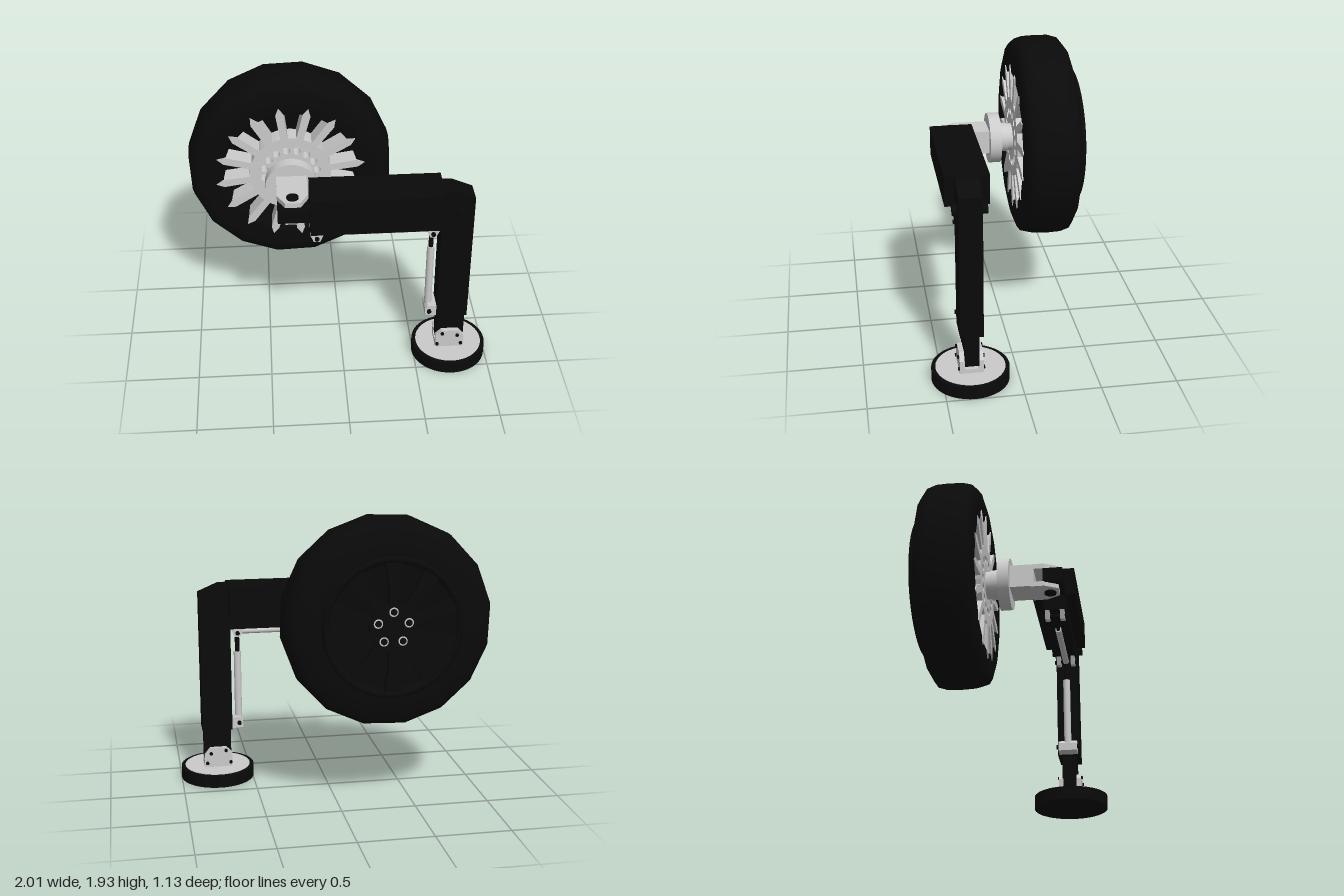
import * as THREE from 'three';

const black = new THREE.MeshStandardMaterial({ color: 0x0a0a0a });
const blackThin = new THREE.MeshStandardMaterial({ color: 0x0a0a0a, side: THREE.DoubleSide });
const grey = new THREE.MeshStandardMaterial({ color: 0xcccccc });

const WX = -0.32, WY = 1.24; // wheel axis
const PZ = 0.315;            // centre plane of the arm and leg

export function createModel() {
  const root = new THREE.Group();

  const add = (name, geo, mat, parent = root) => {
    const m = new THREE.Mesh(geo, mat);
    m.name = name;
    parent.add(m);
    return m;
  };
  // box given by its limits
  const box = (name, mat, x0, x1, y0, y1, z0, z1) => add(name,
    new THREE.BoxGeometry(x1 - x0, y1 - y0, z1 - z0)
      .translate((x0 + x1) / 2, (y0 + y1) / 2, (z0 + z1) / 2), mat);
  // cylinder along an axis, between a0 and a1, at the other two coordinates
  const rod = (name, mat, axis, r, a0, a1, u, v, seg = 24, parent = root) => {
    const g = new THREE.CylinderGeometry(r, r, a1 - a0, seg);
    const c = (a0 + a1) / 2;
    if (axis === 'x') g.rotateZ(Math.PI / 2).translate(c, u, v);
    else if (axis === 'y') g.translate(u, c, v);
    else g.rotateX(Math.PI / 2).translate(u, v, c);
    return add(name, g, mat, parent);
  };
  const shapeOf = (pts) => new THREE.Shape(pts.map(([x, y]) => new THREE.Vector2(x, y)));
  // outline in x,y extruded from z0 to z1
  const plate = (shape, z0, z1) => new THREE.ExtrudeGeometry(shape,
    { depth: z1 - z0, bevelEnabled: false, curveSegments: 20 }).translate(0, 0, z0);
  // profile of [radius, z] turned about the z axis
  const turned = (pts, seg, start = 0) => new THREE.LatheGeometry(
    pts.map(([r, z]) => new THREE.Vector2(r, z)), seg, start).rotateX(Math.PI / 2);

  // ---- wheel ----
  const wheel = new THREE.Group();
  wheel.name = 'wheel';
  wheel.position.set(WX, WY, 0);
  root.add(wheel);

  add('tyre', turned([[0.44, -0.51], [0.47, -0.525], [0.55, -0.512], [0.63, -0.492], [0.67, -0.465],
    [0.691, -0.40], [0.694, -0.32], [0.69, -0.22], [0.675, -0.165], [0.64, -0.14], [0.59, -0.127],
    [0.46, -0.13]], 16, THREE.MathUtils.degToRad(13.5)), blackThin, wheel);
  add('innerRim', turned([[0.475, -0.128], [0.455, -0.131], [0.44, -0.26], [0, -0.26]], 48), blackThin, wheel);
  add('outerRim', turned([[0, -0.505], [0.40, -0.505], [0.425, -0.555], [0.44, -0.56], [0.46, -0.555],
    [0.46, -0.50]], 48), blackThin, wheel);

  // outer face: ten flared spokes, hub and five bolt rings
  const outerSpoke = shapeOf([[0.1, -0.024], [0.28, -0.03], [0.42, -0.055], [0.42, 0.055], [0.28, 0.03], [0.1, 0.024]]);
  for (let i = 0; i < 10; i++) {
    add('outerSpoke', plate(outerSpoke, -0.55, -0.5), black, wheel).rotation.z = Math.PI / 10 + i * Math.PI / 5;
  }
  rod('outerHub', black, 'z', 0.155, -0.555, -0.5, 0, 0, 40, wheel);
  for (let i = 0; i < 5; i++) {
    const a = Math.PI / 2 + i * Math.PI * 0.4;
    const x = 0.105 * Math.cos(a), y = 0.105 * Math.sin(a);
    add('boltRing', new THREE.TorusGeometry(0.026, 0.005, 6, 20).translate(x, y, -0.556), grey, wheel);
    rod('bolt', black, 'z', 0.021, -0.562, -0.54, x, y, 16, wheel);
  }

  // inner face: drilled hub with sixteen pointed fins
  const disc = new THREE.Shape().absarc(0, 0, 0.275, 0, Math.PI * 2);
  const fin = shapeOf([[0.25, -0.024], [0.455, -0.027], [0.505, 0], [0.455, 0.027], [0.25, 0.024]]);
  for (let i = 0; i < 16; i++) {
    const a = THREE.MathUtils.degToRad(7.9 + 22.5 * i);
    const hole = new THREE.Path();
    hole.absarc(0.18 * Math.cos(a), 0.18 * Math.sin(a), 0.026, 0, Math.PI * 2, true);
    disc.holes.push(hole);
    add('fin', plate(fin, -0.25, -0.122), grey, wheel).rotation.z = a;
  }
  add('drilledHub', plate(disc, -0.25, -0.122), grey, wheel);
  rod('axle', grey, 'z', 0.093, -0.2, -0.03, 0, 0, 32, wheel);
  rod('axleCollar', grey, 'z', 0.1, -0.09, -0.03, 0, 0, 32, wheel);
  rod('flange', grey, 'z', 0.173, -0.035, 0.043, 0, 0, 40, wheel);

  // ---- steering fork ----
  box('forkBody', grey, -0.42, -0.22, 1.165, 1.325, 0.04, 0.2);
  const prong = shapeOf([[-0.42, 0.18], [-0.22, 0.18], [-0.22, 0.27], [-0.27, 0.36], [-0.37, 0.36], [-0.42, 0.27]]);
  for (const top of [1.325, 1.195]) {
    const g = plate(prong, 0, 0.035).rotateX(Math.PI / 2).translate(0, top, 0);
    add('forkProng', g, grey);
  }
  rod('forkPin', black, 'y', 0.04, 1.15, 1.335, WX, 0.3);

  // ---- arm ----
  box('armTongue', black, -0.42, -0.2, 1.19, 1.29, 0.26, 0.39);
  box('armHousing', black, -0.212, 0.65, 1.19, 1.39, 0.167, 0.452);
  box('armBeam', black, -0.212, 0.65, 1.085, 1.2, 0.24, 0.39);

  // ---- leg ----
  add('leg', plate(shapeOf([[0.64, 0.36], [0.85, 0.36], [0.85, 1.33], [0.71, 1.39], [0.6, 1.39], [0.6, 1.09],
    [0.64, 1.09]]), 0.24, 0.39), black);
  box('lowerLeg', black, 0.65, 0.84, 0.14, 0.38, 0.267, 0.363);
  rod('kneePin', black, 'z', 0.035, 0.2, 0.42, 0.765, 1.22, 20);

  // ---- foot ----
  rod('footPad', black, 'y', 0.255, 0, 0.086, 0.745, PZ, 48);
  rod('footPlate', grey, 'y', 0.228, 0.07, 0.09, 0.745, PZ, 48);
  box('ankleBase', grey, 0.645, 0.84, 0.088, 0.12, 0.24, 0.395);
  const ankle = shapeOf([[0.645, 0.09], [0.84, 0.09], [0.84, 0.18], [0.80, 0.23], [0.685, 0.23], [0.645, 0.19]]);
  for (const z of [0.24, 0.363]) add('anklePlate', plate(ankle, z, z + 0.032), grey);
  for (const [x, y] of [[0.69, 0.208], [0.795, 0.19], [0.657, 0.12], [0.822, 0.12]]) {
    rod('ankleBolt', black, 'z', 0.012, 0.23, 0.26, x, y, 12);
    rod('ankleBolt', black, 'z', 0.012, 0.375, 0.405, x, y, 12);
  }

  // ---- hydraulic cylinders ----
  const lug = (name, x, y) => {
    const g = new THREE.Group();
    g.name = name;
    root.add(g);
    for (const z of [0.25, 0.35]) {
      add('lugCheek', plate(shapeOf([[x - 0.045, y + 0.03], [x - 0.02, y - 0.028], [x + 0.02, y - 0.028],
        [x + 0.045, y + 0.03]]), z, z + 0.03), grey, g);
    }
    rod('lugPin', black, 'z', 0.015, 0.235, 0.395, x, y, 14, g);
  };
  lug('armLug', -0.17, 1.055);
  lug('kneeLug', 0.59, 1.055);
  rod('armPistonRod', black, 'x', 0.013, -0.17, 0.05, 1.055, PZ, 16);
  rod('armCylinder', grey, 'x', 0.021, 0.03, 0.58, 1.055, PZ);
  rod('legPistonRod', black, 'y', 0.016, 0.9, 1.05, 0.588, PZ, 16);
  rod('legCylinder', grey, 'y', 0.025, 0.41, 0.91, 0.588, PZ);
  add('legLug', plate(shapeOf([[0.645, 0.365], [0.645, 0.445], [0.58, 0.445], [0.563, 0.425], [0.563, 0.372]]),
    0.25, 0.38), grey);
  rod('legLugPin', black, 'z', 0.015, 0.235, 0.395, 0.59, 0.405, 14);

  return root;
}
